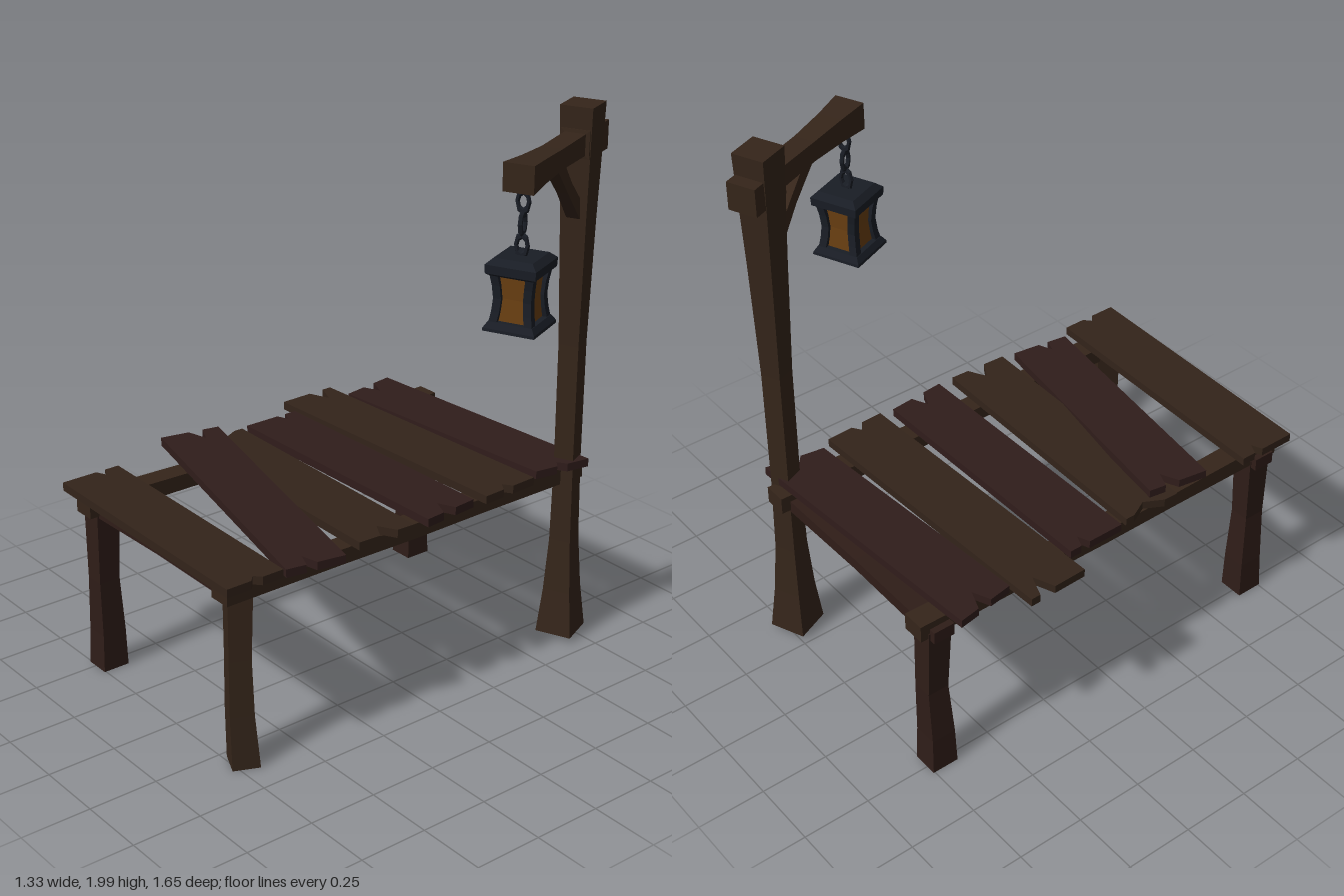
import * as THREE from 'three';

const mat = (color) => new THREE.MeshStandardMaterial({ color, flatShading: true });
const timber = mat(0x35251a);
const darkTimber = mat(0x2f1d18);
const redPlank = mat(0x301d1b);
const brownPlank = mat(0x33241a);
const iron = mat(0x191d25);
const amber = mat(0x6a3f12);

function add(parent, name, geometry, material) {
  const mesh = new THREE.Mesh(geometry, material);
  mesh.name = name;
  parent.add(mesh);
  return mesh;
}

// Square bar lofted along y; each section is [y, width, depth, centreX, centreZ]
function bar(sections) {
  const n = sections.length - 1;
  const geometry = new THREE.BoxGeometry(1, 1, 1, 1, n, 1);
  const p = geometry.attributes.position;
  for (let i = 0; i < p.count; i++) {
    const [y, w, d, cx = 0, cz = 0] = sections[Math.round((p.getY(i) + 0.5) * n)];
    p.setXYZ(i, p.getX(i) * w + cx, y, p.getZ(i) * d + cz);
  }
  geometry.computeVertexNormals();
  return geometry;
}

// Plank end running from a to b with a V notch [position, half width, depth]
function splitEnd(a, b, [t, half, depth], inward) {
  const at = (s) => [a[0] + (b[0] - a[0]) * s, a[1] + (b[1] - a[1]) * s];
  const tip = at(t);
  return [a, at(t - half), [tip[0] + inward * depth, tip[1]], at(t + half), b];
}

// Plank outline in x, z, extruded upwards; slope tilts it along x
function plank({ left, right, leftNotch, rightNotch, y = 0.69, slope = 0 }) {
  const outline = [
    ...splitEnd(left[0], left[1], leftNotch, 1),
    ...splitEnd(right[0], right[1], rightNotch, -1).reverse(),
  ];
  const shape = new THREE.Shape(outline.map(([x, z]) => new THREE.Vector2(x, -z)));
  const geometry = new THREE.ExtrudeGeometry(shape, { depth: 0.03, bevelEnabled: false });
  geometry.rotateX(-Math.PI / 2);
  const p = geometry.attributes.position;
  for (let i = 0; i < p.count; i++) p.setY(i, p.getY(i) + y + slope * p.getX(i));
  geometry.computeVertexNormals();
  return geometry;
}

function buildDeck() {
  const deck = new THREE.Group();
  deck.name = 'deck';
  const planks = [
    { left: [[-0.61, -0.68], [-0.575, -0.46]], right: [[0.42, -0.75], [0.385, -0.53]],
      leftNotch: [0.48, 0.13, 0.07], rightNotch: [0.5, 0.1, 0.03] },
    { left: [[-0.67, -0.445], [-0.665, -0.22]], right: [[0.415, -0.49], [0.425, -0.26]],
      leftNotch: [0.3, 0.14, 0.08], rightNotch: [0.54, 0.1, 0.035] },
    { left: [[-0.57, -0.2], [-0.57, 0.02]], right: [[0.415, -0.21], [0.435, 0.01]],
      leftNotch: [0.29, 0.08, 0.045], rightNotch: [0.53, 0.13, 0.065] },
    { left: [[-0.56, 0.05], [-0.565, 0.275]], right: [[0.435, 0.07], [0.425, 0.295]],
      leftNotch: [0.45, 0.3, 0.035], rightNotch: [0.47, 0.16, 0.065] },
    { left: [[-0.54, 0.17], [-0.58, 0.39]], right: [[0.435, 0.36], [0.4, 0.575]],
      leftNotch: [0.4, 0.12, 0.065], rightNotch: [0.57, 0.09, 0.055], y: 0.7, slope: -0.07 },
    { left: [[-0.57, 0.58], [-0.57, 0.805]], right: [[0.42, 0.6], [0.42, 0.82]],
      leftNotch: [0.32, 0.08, 0.04], rightNotch: [0.47, 0.1, 0.025] },
  ];
  planks.forEach((spec, i) => {
    const material = [redPlank, brownPlank, redPlank, brownPlank, redPlank, brownPlank][i];
    add(deck, i === 4 ? 'loosePlank' : 'plank', plank(spec), material);
  });

  // Long rails, sagging slightly in the middle
  for (const [x, name] of [[-0.483, 'rightRail'], [0.32, 'leftRail']]) {
    const rail = bar([[-0.78, 0.085, 0.064], [-0.3, 0.08, 0.056, 0, 0.006],
      [0, 0.078, 0.056, 0, 0.01], [0.3, 0.08, 0.056, 0, 0.006], [0.78, 0.085, 0.064]]);
    add(deck, name, rail.rotateX(Math.PI / 2).translate(x, 0.653, 0), timber);
  }
  // Cross beams under the rails
  for (const z of [-0.705, 0.705]) {
    const beam = bar([[-0.34, 0.047, 0.08], [0.1, 0.042, 0.07], [0.55, 0.047, 0.08]]);
    add(deck, 'crossBeam', beam.rotateZ(Math.PI / 2).translate(0, 0.634, z), darkTimber);
  }
  return deck;
}

function buildLegs() {
  const legs = new THREE.Group();
  legs.name = 'legs';
  for (const side of [1, -1]) {
    const leg = bar([[0.01, 0.095, 0.1, -0.002], [0.15, 0.088, 0.092],
      [0.36, 0.074, 0.08, 0.005, side * 0.008], [0.64, 0.083, 0.09]]);
    add(legs, side > 0 ? 'frontRightLeg' : 'backRightLeg', leg, darkTimber)
      .position.set(-0.487, 0, side * 0.705);
  }
  const leaning = bar([[0.01, 0.095, 0.095, 0.025, 0], [0.2, 0.083, 0.083, 0.016, 0.008],
    [0.4, 0.076, 0.076, 0.005, 0.008], [0.65, 0.084, 0.084, -0.012, 0]]);
  const leg = add(legs, 'frontLeftLeg', leaning, timber);
  leg.position.set(0.312, 0, 0.7);
  leg.rotation.y = -0.42;
  return legs;
}

function buildLantern() {
  const lantern = new THREE.Group();
  lantern.name = 'lantern';
  // Chain of alternating links
  for (let i = 0; i < 3; i++) {
    const link = new THREE.TorusGeometry(0.02, 0.008, 6, 8).scale(1, 1.7, 1);
    const mesh = add(lantern, 'chainLink', link, iron);
    mesh.position.y = 1.79 - i * 0.073;
    mesh.rotation.y = (i % 2) * Math.PI / 2;
  }
  add(lantern, 'cap', bar([[1.553, 0.15, 0.15], [1.562, 0.175, 0.175],
    [1.592, 0.178, 0.178], [1.612, 0.135, 0.135]]), iron);
  add(lantern, 'base', bar([[1.368, 0.182, 0.182], [1.378, 0.18, 0.18],
    [1.398, 0.155, 0.155]]), iron);
  add(lantern, 'glass', bar([[1.395, 0.118, 0.118], [1.475, 0.108, 0.108],
    [1.556, 0.118, 0.118]]), amber);
  // Curved corner posts
  for (const x of [-1, 1]) {
    for (const z of [-1, 1]) {
      const post = [[1.39, 0.063], [1.43, 0.056], [1.475, 0.052], [1.52, 0.056], [1.56, 0.063]]
        .map(([y, off]) => [y, 0.028, 0.028, x * off, z * off]);
      add(lantern, 'cornerPost', bar(post), iron);
    }
  }
  return lantern;
}

// Tall post with its arm, turned outward over the corner
function buildLampPost() {
  const lamp = new THREE.Group();
  lamp.name = 'lampPost';
  add(lamp, 'post', bar([[0.03, 0.135, 0.135], [0.2, 0.103, 0.103], [0.4, 0.08, 0.08],
    [0.7, 0.072, 0.072], [1.15, 0.074, 0.074], [1.6, 0.094, 0.094], [2, 0.118, 0.118]]), timber);

  const arm = bar([[-0.105, 0.106, 0.1], [0.06, 0.104, 0.098], [0.062, 0.076, 0.074],
    [0.25, 0.076, 0.07], [0.4, 0.088, 0.082], [0.52, 0.108, 0.096]]);
  add(lamp, 'arm', arm.rotateX(Math.PI / 2), timber).position.y = 1.875;

  const brace = bar([[-0.16, 0.05, 0.05], [0, 0.042, 0.042], [0.16, 0.05, 0.05]]);
  const braceMesh = add(lamp, 'brace', brace, timber);
  braceMesh.position.set(0, 1.744, 0.137);
  braceMesh.rotation.x = 0.76;

  const lantern = buildLantern();
  lantern.position.z = 0.475;
  lamp.add(lantern);

  lamp.position.set(0.355, 0, -0.71);
  lamp.rotation.y = 0.403;
  return lamp;
}

export function createModel() {
  const model = new THREE.Group();
  model.name = 'dockWithLantern';
  model.add(buildDeck(), buildLegs(), buildLampPost());
  return model;
}
